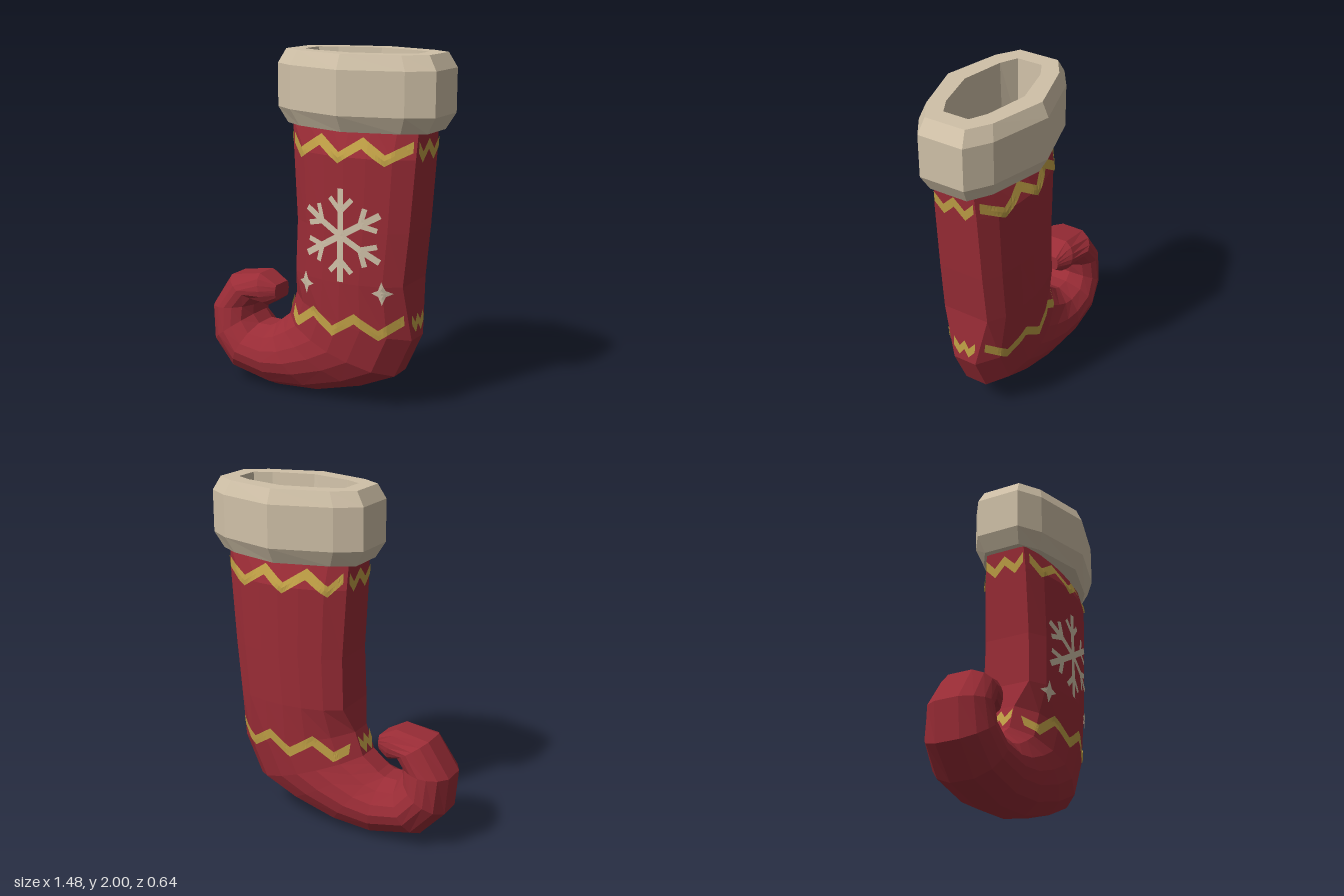
import * as THREE from 'three';
import { mergeGeometries } from 'three/addons/utils/BufferGeometryUtils.js';

const mat = (name, color) => {
  const m = new THREE.MeshStandardMaterial({ color, flatShading: true, side: THREE.DoubleSide });
  m.name = name;
  return m;
};

// Skin a list of rings (arrays of [x, y, z]); optionally cap the last one.
function loft(rings, cap = false) {
  const n = rings[0].length, pos = rings.flat(2), idx = [];
  for (let i = 0; i < rings.length - 1; i++) {
    for (let j = 0; j < n; j++) {
      const a = i * n + j, b = i * n + (j + 1) % n;
      idx.push(a, b, a + n, b, b + n, a + n);
    }
  }
  if (cap) {
    const s = (rings.length - 1) * n;
    for (let j = 1; j < n - 1; j++) idx.push(s, s + j, s + j + 1);
  }
  const g = new THREE.BufferGeometry();
  g.setAttribute('position', new THREE.Float32BufferAttribute(pos, 3));
  g.setIndex(idx);
  g.computeVertexNormals();
  return g;
}

// Stations down the leg, round the heel and into the curled toe:
// outer x, y, inner x, y, half depth, half width of the edge strip
const STATIONS = [
  [0.64, 1.62, -0.135, 1.62, 0.165, 0.12],
  [0.63, 1.45, -0.125, 1.45, 0.238, 0.13],
  [0.60, 1.05, -0.10, 1.05, 0.24, 0.135],
  [0.57, 0.75, -0.11, 0.75, 0.24, 0.14],
  [0.595, 0.43, -0.15, 0.60, 0.235, 0.07],
  [0.49, 0.20, -0.20, 0.46, 0.23, 0.068],
  [0.27, 0.10, -0.25, 0.42, 0.228, 0.065],
  [-0.02, 0.02, -0.30, 0.38, 0.226, 0.065],
  [-0.29, 0.00, -0.34, 0.36, 0.225, 0.065],
  [-0.57, 0.06, -0.42, 0.36, 0.22, 0.068],
  [-0.72, 0.22, -0.46, 0.41, 0.20, 0.07],
  [-0.74, 0.44, -0.455, 0.47, 0.18, 0.07],
  [-0.61, 0.635, -0.42, 0.505, 0.165, 0.07],
  [-0.41, 0.67, -0.36, 0.48, 0.13, 0.068],
  [-0.30, 0.61, -0.30, 0.52, 0.075, 0.06],
];
// Position across the section and bulge between strip width and full depth
const SECTION = [[0, 0], [0.14, 0.6], [0.33, 0.9], [0.5, 1], [0.67, 0.9], [0.86, 0.6], [1, 0]];

function sockRing([ox, oy, ix, iy, d, e]) {
  const half = SECTION.map(([t, k]) => [ox + (ix - ox) * t, oy + (iy - oy) * t, e + (d - e) * k]);
  return [...half, ...half.slice().reverse().map(([x, y, z]) => [x, y, -z])];
}

// Ten-sided long ring of the cuff
function cuffRing([hx, hz, y]) {
  const q = [[1, 0.41], [0.72, 0.69], [0, 1], [-0.72, 0.69], [-1, 0.41]];
  const half = q.map(([u, v]) => [0.255 + u * hx, y, v * hz]);
  return [...half, ...half.slice().reverse().map(([x, yy, z]) => [x, yy, -z])];
}

// Drape flat quads [a, b, c, d] onto the sock, seen along one axis.
function drape(quads, sock, axis, sign) {
  const ray = new THREE.Raycaster(), dir = new THREE.Vector3(), from = new THREE.Vector3();
  const N = 8, M = 2;
  const start = axis === 'z' ? sign : sign > 0 ? 1 : -0.27;
  dir[axis] = -sign;
  const geos = quads.map(([a, b, c, d]) => {
    const rows = [];
    let last = null;
    for (let i = 0; i <= N; i++) {
      for (let j = 0; j <= M; j++) {
        const s = i / N, t = j / M;
        const [u, v] = [0, 1].map(k =>
          (a[k] * (1 - s) + b[k] * s) * (1 - t) + (d[k] * (1 - s) + c[k] * s) * t);
        from.set(axis === 'z' ? u : start, v, axis === 'z' ? start : u);
        ray.set(from, dir);
        const hit = ray.intersectObject(sock)[0];
        if (hit) last = hit.point[axis] + sign * 0.009;
        const w = last ?? sign * 0.2;
        rows.push(axis === 'z' ? [u, v, w] : [w, v, u]);
      }
    }
    const idx = [];
    for (let i = 0; i < N; i++) {
      for (let j = 0; j < M; j++) {
        const p = i * (M + 1) + j, q = p + M + 1;
        // keep faces pointing outwards
        const [A, B, C] = [p, q, p + 1].map(k => new THREE.Vector3(...rows[k]));
        const out = B.sub(A).cross(C.sub(A))[axis] * sign > 0;
        if (out) idx.push(p, q, p + 1, q, q + 1, p + 1);
        else idx.push(p, p + 1, q, q, p + 1, q + 1);
      }
    }
    const g = new THREE.BufferGeometry();
    g.setAttribute('position', new THREE.Float32BufferAttribute(rows.flat(), 3));
    g.setIndex(idx);
    g.computeVertexNormals();
    return g;
  });
  return mergeGeometries(geos);
}

// Zigzag of constant vertical thickness
const zigzag = (pts, h = 0.03) => pts.slice(1).map(([x, y], i) => {
  const [px, py] = pts[i];
  return [[px, py - h], [x, y - h], [x, y + h], [px, py + h]];
});

// Straight bar between two points
function bar([x0, y0], [x1, y1], w) {
  const l = Math.hypot(x1 - x0, y1 - y0), nx = -(y1 - y0) / l * w, ny = (x1 - x0) / l * w;
  return [[x0 - nx, y0 - ny], [x1 - nx, y1 - ny], [x1 + nx, y1 + ny], [x0 + nx, y0 + ny]];
}

// Six arms, each with two side branches
function snowflake(cx, cy) {
  const quads = [];
  for (let i = 0; i < 6; i++) {
    const a = Math.PI / 2 + i * Math.PI / 3;
    const at = (r, s) => [cx + Math.cos(a) * r - Math.sin(a) * s, cy + Math.sin(a) * r + Math.cos(a) * s];
    quads.push(bar([cx, cy], at(0.26, 0), 0.018));
    for (const s of [-1, 1]) quads.push(bar(at(0.135, 0), at(0.205, s * 0.068), 0.015));
  }
  return quads;
}

// Four-pointed star made of four kites
function sparkle(cx, cy) {
  return [0, 1, 2, 3].map(i => {
    const p = (r, k) => [cx + r * Math.cos(k * Math.PI / 4), cy + r * Math.sin(k * Math.PI / 4)];
    return [[cx, cy], p(0.026, 2 * i - 1), p(i % 2 ? 0.068 : 0.056, 2 * i), p(0.026, 2 * i + 1)];
  });
}

export function createModel() {
  const group = new THREE.Group();
  const red = mat('red felt', 0x9a2c36);
  const cream = mat('cream fleece', 0xd0c1a8);
  const gold = mat('gold trim', 0xbf9f45);
  const add = (name, geo, m) => {
    const mesh = new THREE.Mesh(geo, m);
    mesh.name = name;
    group.add(mesh);
    return mesh;
  };

  const sock = add('sock', loft(STATIONS.map(sockRing), true), red);

  // Cuff profile: up the inside, over the rim, down the outside, back under
  const cuff = [[0.32, 0.15, 1.6], [0.34, 0.18, 2], [0.435, 0.285, 2], [0.482, 0.32, 1.92],
    [0.482, 0.32, 1.68], [0.43, 0.27, 1.59], [0.32, 0.15, 1.6]];
  add('cuff', loft(cuff.map(cuffRing)), cream);

  // Zigzag bands on the broad sides
  const upper = zigzag([[-0.11, 1.52], [-0.04, 1.445], [0.09, 1.53], [0.22, 1.445], [0.35, 1.53], [0.485, 1.445], [0.62, 1.52]]);
  const lower = zigzag([[-0.14, 0.51], [-0.07, 0.468], [0.05, 0.555], [0.185, 0.468], [0.32, 0.555], [0.45, 0.468], [0.57, 0.555]]);
  // and on the narrow edges
  const upperEdge = zigzag([[-0.12, 1.52], [-0.065, 1.46], [0, 1.525], [0.065, 1.46], [0.12, 1.52]]);
  const lowerEdge = zigzag([[-0.07, 0.55], [-0.03, 0.50], [0, 0.545], [0.03, 0.50], [0.07, 0.55]]);
  for (const s of [1, -1]) {
    const side = s > 0 ? 'Front' : 'Back', edge = s > 0 ? 'Left' : 'Right';
    add('upperZigzag' + side, drape(upper, sock, 'z', s), gold);
    add('lowerZigzag' + side, drape(lower, sock, 'z', s), gold);
    add('upperZigzag' + edge, drape(upperEdge, sock, 'x', s), gold);
    add('lowerZigzag' + edge, drape(lowerEdge, sock, 'x', s), gold);
  }

  // Front decorations
  add('snowflake', drape(snowflake(0.24, 1.02), sock, 'z', 1), cream);
  add('sparkleRight', drape(sparkle(0, 0.715), sock, 'z', 1), cream);
  add('sparkleLeft', drape(sparkle(0.475, 0.715), sock, 'z', 1), cream);
  return group;
}
